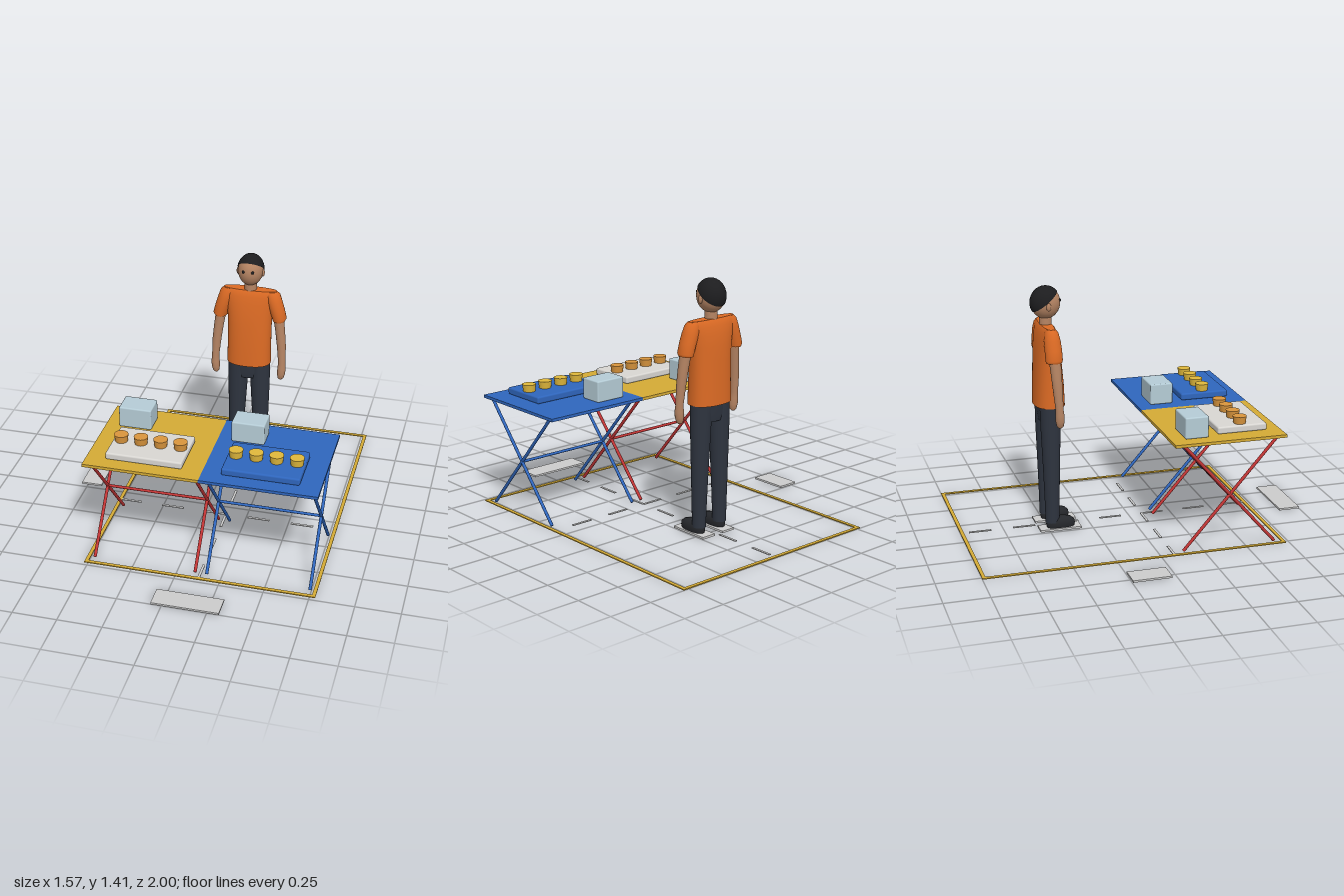
import * as THREE from 'three';
import { RoundedBoxGeometry } from 'three/addons/geometries/RoundedBoxGeometry.js';

const mat = (color) => new THREE.MeshStandardMaterial({ color });
const grey = mat(0xcccccc), yellow = mat(0xd4aa35), blue = mat(0x2f66bd), red = mat(0xc03434);
const skin = mat(0xb58463), shirt = mat(0xdb6a24), trousers = mat(0x2e343f), dark = mat(0x1d1d1f);
const shoeMat = mat(0x26282c), paleBlue = mat(0xb5ccd6), trayWhite = mat(0xd8d6d2);
const orange = mat(0xd9953d), gold = mat(0xe0b83c);

const CX = 0.13; // centre line of the stall and the seller

function add(parent, name, geometry, material, x = 0, y = 0, z = 0) {
  const mesh = new THREE.Mesh(geometry, material);
  mesh.name = name;
  mesh.position.set(x, y, z);
  parent.add(mesh);
  return mesh;
}

// box given by its limits, with optional rounded edges
function box(parent, name, material, x0, x1, y0, y1, z0, z1, r = 0) {
  const s = [x1 - x0, y1 - y0, z1 - z0];
  const g = r ? new RoundedBoxGeometry(...s, 3, r) : new THREE.BoxGeometry(...s);
  return add(parent, name, g, material, (x0 + x1) / 2, (y0 + y1) / 2, (z0 + z1) / 2);
}

// round bar between two points
function bar(parent, name, material, a, b, r) {
  const p = new THREE.Vector3(...a), q = new THREE.Vector3(...b);
  const d = q.clone().sub(p);
  const m = add(parent, name, new THREE.CylinderGeometry(r, r, d.length(), 12), material);
  m.position.copy(p).add(q).multiplyScalar(0.5);
  m.quaternion.setFromUnitVectors(new THREE.Vector3(0, 1, 0), d.normalize());
  return m;
}

// smooth closed skin over sections [y, cx, cz, rx, rz], listed from bottom to top
function loft(sections, power = 1, n = 32) {
  const pos = [], idx = [];
  const curve = (v) => Math.sign(v) * Math.abs(v) ** power;
  for (const [y, cx, cz, rx, rz] of sections) {
    for (let j = 0; j < n; j++) {
      const a = (j / n) * Math.PI * 2;
      pos.push(cx + rx * curve(Math.cos(a)), y, cz + rz * curve(Math.sin(a)));
    }
  }
  const rows = sections.length;
  for (let i = 0; i < rows - 1; i++) {
    for (let j = 0; j < n; j++) {
      const a = i * n + j, b = i * n + ((j + 1) % n);
      idx.push(a, a + n, b, b, a + n, b + n);
    }
  }
  // caps with their own vertices so the rims stay sharp
  for (const row of [0, rows - 1]) {
    const base = pos.length / 3, [y, cx, cz] = sections[row];
    for (let k = 0; k < n * 3; k++) pos.push(pos[row * n * 3 + k]);
    pos.push(cx, y, cz);
    for (let j = 0; j < n; j++) {
      const a = base + j, b = base + ((j + 1) % n);
      idx.push(base + n, ...(row ? [b, a] : [a, b]));
    }
  }
  const g = new THREE.BufferGeometry();
  g.setAttribute('position', new THREE.Float32BufferAttribute(pos, 3));
  g.setIndex(idx);
  g.computeVertexNormals();
  return g;
}

// folding table with tray, food cups and a box
function makeTable(name, x0, topMat, legMat, trayMat, cupMat, trayX, boxX) {
  const t = new THREE.Group();
  t.name = name;
  box(t, 'tableTop', topMat, x0, x0 + 0.643, 0.624, 0.641, 0.077, 0.72);
  const legX = [x0 + 0.036, x0 + 0.613];
  for (const x of legX) {
    bar(t, 'crossedLeg', legMat, [x, 0.006, 0.137], [x, 0.62, 0.673], 0.009);
    bar(t, 'crossedLeg', legMat, [x, 0.006, 0.673], [x, 0.62, 0.137], 0.009);
  }
  bar(t, 'legCrossbar', legMat, [legX[0], 0.313, 0.405], [legX[1], 0.313, 0.405], 0.008);
  box(t, 'tray', trayMat, trayX, trayX + 0.425, 0.641, 0.682, 0.355, 0.642, 0.01);
  for (let i = 0; i < 4; i++) {
    add(t, 'foodCup', new THREE.CylinderGeometry(0.039, 0.034, 0.042, 28), cupMat, trayX + 0.048 + i * 0.111, 0.702, 0.497);
  }
  box(t, 'storageBox', paleBlue, boxX, boxX + 0.185, 0.641, 0.763, 0.157, 0.292, 0.008);
  return t;
}

// standing figure, built around x = 0
function makePerson() {
  const p = new THREE.Group();
  p.name = 'seller';
  p.position.x = CX;

  // head, hair and face
  const head = new THREE.Group();
  head.name = 'head';
  head.position.set(0, 1.32, -0.478);
  p.add(head);
  add(head, 'face', new THREE.SphereGeometry(1, 36, 24), skin).scale.set(0.073, 0.091, 0.083);
  const hairCap = new THREE.Group();
  hairCap.name = 'hair';
  hairCap.scale.set(0.078, 0.095, 0.088);
  head.add(hairCap);
  const hairMat = dark.clone();
  hairMat.side = THREE.DoubleSide;
  add(hairCap, 'hairCap', new THREE.SphereGeometry(1, 36, 16, 0, Math.PI * 2, 0, 1.46), hairMat).rotation.x = -0.63;
  for (const s of [-1, 1]) {
    add(head, 'ear', new THREE.SphereGeometry(1, 16, 12), skin, s * 0.073, -0.012, 0.002).scale.set(0.009, 0.023, 0.014);
    add(head, 'eye', new THREE.SphereGeometry(0.009, 14, 10), dark, s * 0.027, 0.014, 0.074);
  }
  add(p, 'neck', new THREE.CylinderGeometry(0.034, 0.036, 0.09, 24), skin, 0, 1.22, -0.48);

  // shirt body
  add(p, 'shirt', loft([
    [0.738, 0, -0.472, 0.129, 0.088], [0.85, 0, -0.472, 0.127, 0.084], [0.98, 0, -0.475, 0.128, 0.076],
    [1.06, 0, -0.478, 0.133, 0.069], [1.12, 0, -0.48, 0.145, 0.06], [1.165, 0, -0.48, 0.16, 0.05],
    [1.19, 0, -0.48, 0.163, 0.04], [1.2, 0, -0.48, 0.155, 0.032],
  ], 0.85, 40), shirt);
  add(p, 'hips', loft([
    [0.64, 0, -0.477, 0.085, 0.05], [0.68, 0, -0.477, 0.112, 0.056], [0.76, 0, -0.477, 0.118, 0.06],
  ], 0.85), trousers);

  for (const s of [-1, 1]) {
    const side = s < 0 ? 'right' : 'left';
    add(p, side + 'Sleeve', loft([
      [1.02, s * 0.172, -0.475, 0.036, 0.045], [1.035, s * 0.174, -0.475, 0.042, 0.048],
      [1.09, s * 0.158, -0.475, 0.045, 0.048], [1.14, s * 0.142, -0.477, 0.046, 0.046],
      [1.18, s * 0.13, -0.478, 0.045, 0.038], [1.198, s * 0.122, -0.479, 0.034, 0.026],
    ]), shirt);
    // arm with a narrowed wrist and closed hand
    add(p, side + 'Arm', loft([
      [0.648, s * 0.194, -0.452, 0.009, 0.01], [0.657, s * 0.195, -0.452, 0.018, 0.019],
      [0.685, s * 0.197, -0.452, 0.024, 0.025], [0.72, s * 0.199, -0.453, 0.024, 0.025],
      [0.755, s * 0.199, -0.455, 0.021, 0.022], [0.86, s * 0.193, -0.461, 0.026, 0.027],
      [0.95, s * 0.183, -0.466, 0.028, 0.03], [1.06, s * 0.168, -0.472, 0.031, 0.034],
    ], 1, 24), skin);
    add(p, side + 'TrouserLeg', loft([
      [0.045, s * 0.075, -0.477, 0.036, 0.04], [0.2, s * 0.074, -0.477, 0.041, 0.043],
      [0.4, s * 0.071, -0.477, 0.049, 0.049], [0.6, s * 0.067, -0.477, 0.057, 0.056],
      [0.76, s * 0.063, -0.477, 0.061, 0.059],
    ]), trousers);
    // shoe with a flat sole, standing on its floor plate
    add(p, side + 'Shoe', loft([
      [0.013, s * 0.075, -0.43, 0.033, 0.079], [0.03, s * 0.075, -0.43, 0.037, 0.084],
      [0.05, s * 0.075, -0.431, 0.036, 0.081], [0.066, s * 0.075, -0.436, 0.028, 0.068],
      [0.075, s * 0.075, -0.445, 0.014, 0.045],
    ], 0.8), shoeMat);
    box(p, side + 'FootPlate', grey, s * 0.072 - 0.043, s * 0.072 + 0.043, 0, 0.012, -0.555, -0.315);
  }
  return p;
}

export function createModel() {
  const model = new THREE.Group();
  model.name = 'marketStall';

  model.add(makeTable('yellowTable', -0.513, yellow, red, trayWhite, orange, -0.405, -0.435));
  model.add(makeTable('blueTable', 0.13, blue, blue, blue, gold, 0.235, 0.207));
  model.add(makePerson());

  // floor outline
  const outline = new THREE.Group();
  outline.name = 'floorOutline';
  model.add(outline);
  for (const x of [-0.522, 0.762]) box(outline, 'sideLine', yellow, x, x + 0.02, 0, 0.006, -1, 0.73);
  for (const z of [-1, 0.71]) box(outline, 'endLine', yellow, -0.502, 0.762, 0, 0.006, z, z + 0.02);

  // dashed centre line and cross line
  const dashes = new THREE.Group();
  dashes.name = 'dashedLines';
  model.add(dashes);
  for (let i = 0; i < 7; i++) {
    const z = -0.95 + i * 0.257;
    box(dashes, 'centreDash', grey, CX - 0.007, CX + 0.007, 0, 0.005, z, z + 0.13);
  }
  for (let i = 0; i < 5; i++) {
    const x = -0.513 + i * 0.257;
    box(dashes, 'crossDash', grey, x, x + 0.13, 0, 0.005, 0.07, 0.084);
  }

  // blank dimension plates on the floor
  box(model, 'frontPlate', grey, -0.06, 0.316, 0, 0.011, 0.876, 1);
  box(model, 'sidePlate', grey, -0.788, -0.665, 0, 0.011, -0.245, -0.027);
  return model;
}
